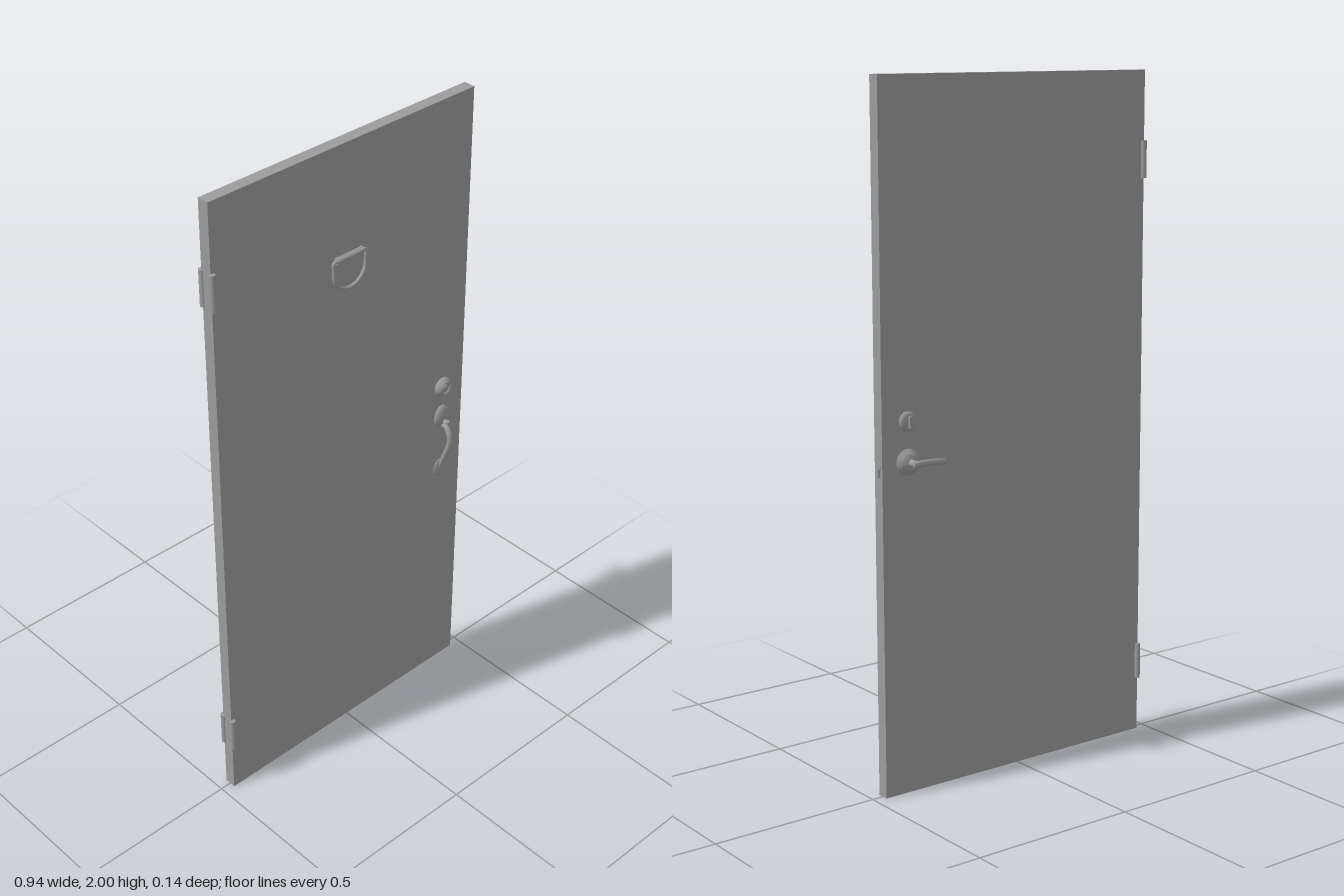
import * as THREE from 'three';

const mat = new THREE.MeshStandardMaterial({ color: 0x9b9b9b, side: THREE.DoubleSide });
const V = (x, y, z) => new THREE.Vector3(x, y, z);
const LOCK_X = 0.381, FACE = 0.018;

function add(parent, name, geo, x = 0, y = 0, z = 0) {
  const mesh = new THREE.Mesh(geo, mat);
  mesh.name = name;
  mesh.position.set(x, y, z);
  parent.add(mesh);
  return mesh;
}

// Turned disc whose axis points out of the door along +z
function turned(points, sx = 1, sy = 1) {
  const geo = new THREE.LatheGeometry(points.map(p => new THREE.Vector2(...p)), 32);
  return geo.rotateX(Math.PI / 2).scale(sx, sy, 1);
}

// Tube with a smoothly varying elliptical section
function taperedTube(points, radius, squash) {
  const curve = new THREE.CatmullRomCurve3(points);
  const segs = 32, sides = 12;
  const geo = new THREE.TubeGeometry(curve, segs, 1, sides);
  const pos = geo.attributes.position;
  for (let i = 0; i <= segs; i++) {
    const c = curve.getPointAt(i / segs), r = radius(i / segs);
    for (let j = 0; j <= sides; j++) {
      const k = i * (sides + 1) + j;
      const v = V().fromBufferAttribute(pos, k).sub(c).multiplyScalar(r);
      v.z *= squash;
      v.add(c);
      pos.setXYZ(k, v.x, v.y, v.z);
    }
  }
  geo.computeVertexNormals();
  return geo;
}

export function createModel() {
  const door = new THREE.Group();
  door.name = 'door';
  add(door, 'slab', new THREE.BoxGeometry(0.93, 2, FACE * 2), 0, 1, 0);

  // Hinges: a knuckle on each face, joined by a leaf on the edge
  for (const y of [0.219, 1.744]) {
    const hinge = new THREE.Group();
    hinge.name = 'hinge';
    door.add(hinge);
    for (const z of [-0.019, 0.021])
      add(hinge, 'hingeKnuckle', new THREE.CylinderGeometry(0.009, 0.009, 0.108, 16), -0.463, y, z);
    add(hinge, 'hingeLeaf', new THREE.BoxGeometry(0.002, 0.106, 0.036), -0.465, y, 0);
  }

  // Knocker: mounting bar and a D-shaped ring
  const knocker = new THREE.Group();
  knocker.name = 'knocker';
  knocker.position.set(0.003, -0.005, 0);
  door.add(knocker);
  add(knocker, 'knockerBar', new THREE.CylinderGeometry(0.008, 0.008, 0.1, 16).rotateZ(Math.PI / 2), 0, 1.67, 0.023);
  add(knocker, 'knockerBackplate', new THREE.BoxGeometry(0.1, 0.022, 0.006), 0, 1.668, 0.02);
  const ringPath = [V(-0.05, 1.671, 0.024), V(-0.058, 1.668, 0.024), V(-0.058, 1.65, 0.024)];
  for (let i = 0; i <= 10; i++) {
    const a = Math.PI + Math.PI * i / 10;
    ringPath.push(V(0.058 * Math.cos(a), 1.631 + 0.057 * Math.sin(a), 0.024));
  }
  ringPath.push(V(0.058, 1.65, 0.024), V(0.058, 1.668, 0.024), V(0.05, 1.671, 0.024));
  add(knocker, 'knockerRing', new THREE.TubeGeometry(new THREE.CatmullRomCurve3(ringPath), 64, 0.005, 10));

  // Deadbolt: key cylinder in front, thumb turn behind
  const collar = [[0.03, 0], [0.03, 0.006], [0.021, 0.018], [0.017, 0.018], [0.016, 0.012], [0, 0.012]];
  add(door, 'deadboltCollar', turned(collar), LOCK_X, 1.068, FACE);
  add(door, 'keyCylinder', turned([[0.012, 0], [0.012, 0.015], [0, 0.015]]), LOCK_X, 1.068, FACE);
  const rear = add(door, 'thumbTurnCollar', turned([[0.028, 0], [0.028, 0.006], [0.02, 0.011], [0, 0.011]]), LOCK_X, 1.068, -FACE);
  rear.rotation.y = Math.PI;
  add(door, 'thumbTurn', new THREE.BoxGeometry(0.007, 0.032, 0.012), LOCK_X, 1.068, -0.031);

  // Front pull: two domed plates, curved grip and thumb latch
  const dome = [[1, 0], [1, 0.003], [0.86, 0.008], [0.55, 0.013], [0, 0.015]];
  const pull = new THREE.Group();
  pull.name = 'pullHandle';
  door.add(pull);
  add(pull, 'upperPlate', turned(dome, 0.028, 0.037), LOCK_X, 0.962, FACE);
  add(pull, 'lowerPlate', turned(dome.map(([r, h]) => [r, h * 0.5]), 0.023, 0.031), LOCK_X, 0.772, FACE);
  add(pull, 'grip', taperedTube([
    V(LOCK_X, 0.935, 0.024), V(LOCK_X, 0.932, 0.042), V(LOCK_X, 0.914, 0.056), V(LOCK_X, 0.88, 0.059),
    V(LOCK_X, 0.84, 0.046), V(LOCK_X, 0.80, 0.03), V(LOCK_X, 0.775, 0.022),
  ], t => 0.007 + 0.004 * Math.sin(Math.PI * t), 0.8));
  add(pull, 'thumbStem', new THREE.BoxGeometry(0.01, 0.004, 0.032), LOCK_X, 0.952, 0.032);
  add(pull, 'thumbPad', new THREE.SphereGeometry(1, 16, 10).scale(0.011, 0.003, 0.01), LOCK_X, 0.952, 0.042);

  // Rear lever: round rose, stem and bent arm
  const lever = new THREE.Group();
  lever.name = 'lever';
  lever.position.set(LOCK_X, 0.955, -FACE);
  door.add(lever);
  const rose = add(lever, 'rose', turned([[0.037, 0], [0.037, 0.005], [0.026, 0.01], [0.022, 0.018], [0, 0.019]]));
  rose.rotation.y = Math.PI;
  add(lever, 'leverStem', turned([[0.01, 0], [0.01, 0.05], [0, 0.05]]).rotateY(Math.PI));
  add(lever, 'leverArm', taperedTube([
    V(0.009, 0, -0.045), V(-0.02, 0.001, -0.045), V(-0.05, 0.001, -0.045),
    V(-0.07, -0.001, -0.044), V(-0.097, -0.004, -0.038),
  ], t => 0.01 - 0.002 * t, 0.6));
  // Tip and root caps of the arm
  add(lever, 'leverTip', new THREE.SphereGeometry(1, 12, 8).scale(0.003, 0.008, 0.005), -0.097, -0.004, -0.038);
  add(lever, 'leverRoot', new THREE.SphereGeometry(1, 12, 8).scale(0.003, 0.01, 0.006), 0.009, 0, -0.045);

  // Latch in the door edge: flush plate, two screws and a bevelled bolt
  add(door, 'latchFaceplate', new THREE.BoxGeometry(0.002, 0.13, 0.022), 0.4643, 0.93, 0);
  const wedge = new THREE.Shape([[0, -0.007], [0.006, -0.003], [0.006, 0.005], [0, 0.007]].map(p => new THREE.Vector2(...p)));
  const bolt = new THREE.ExtrudeGeometry(wedge, { depth: 0.024, bevelEnabled: false });
  add(door, 'latchBolt', bolt.rotateX(-Math.PI / 2), 0.465, 0.92, 0);
  for (const y of [0.88, 0.98])
    add(door, 'faceplateScrew', new THREE.CylinderGeometry(0.004, 0.004, 0.001, 12).rotateZ(Math.PI / 2), 0.4652, y, 0);
  return door;
}
